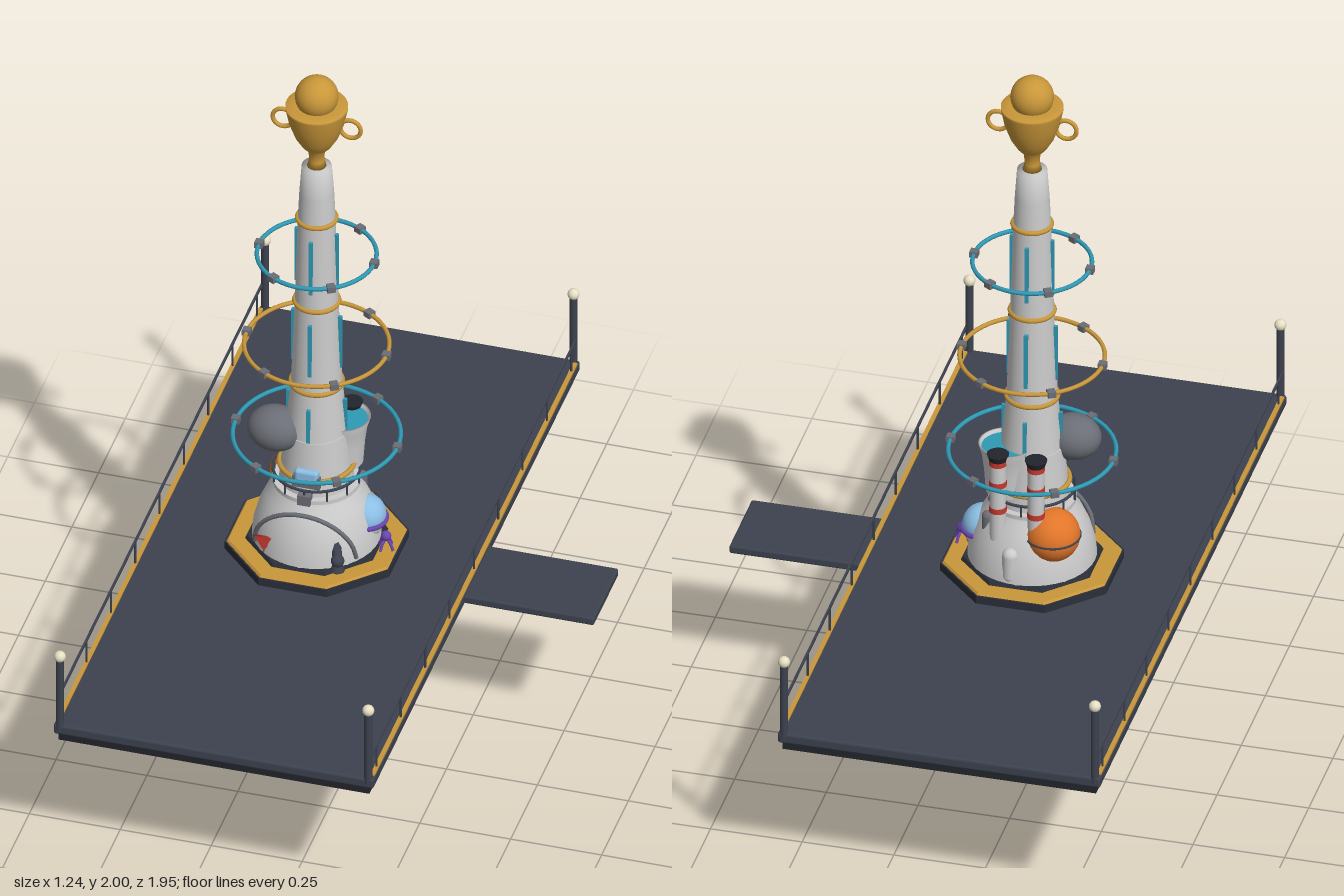
import * as THREE from 'three';
import { RoundedBoxGeometry } from 'three/addons/geometries/RoundedBoxGeometry.js';

const mat = (color, extra = {}) => new THREE.MeshStandardMaterial({ color, ...extra });
const M = {
  white: mat(0xd8d8d8), grey: mat(0x6b6e76), dark: mat(0x3c424f), darkFlat: mat(0x2b2f39, { flatShading: true }),
  gold: mat(0xc9973a), goldFlat: mat(0xc9973a, { flatShading: true }), teal: mat(0x2f9ab5), blue: mat(0x8cbfe6),
  purple: mat(0x6a45b0), orange: mat(0xe2762a), red: mat(0xc8392f), cream: mat(0xe6e0c4), black: mat(0x22252c),
};

function add(parent, name, geometry, material, x = 0, y = 0, z = 0) {
  const mesh = new THREE.Mesh(geometry, material);
  mesh.name = name;
  mesh.position.set(x, y, z);
  parent.add(mesh);
  return mesh;
}
// Upright cylinder given by its bottom and top heights
const column = (parent, name, rBottom, rTop, y0, y1, material, x = 0, z = 0, sides = 32) =>
  add(parent, name, new THREE.CylinderGeometry(rTop, rBottom, y1 - y0, sides), material, x, (y0 + y1) / 2, z);
const lathe = (parent, name, points, material, sides = 40) =>
  add(parent, name, new THREE.LatheGeometry(points.map(p => new THREE.Vector2(...p)), sides), material);
const ball = (parent, name, r, material, x, y, z) =>
  add(parent, name, new THREE.SphereGeometry(r, 24, 16), material, x, y, z);
function ring(parent, name, r, tube, y, material) {
  const mesh = add(parent, name, new THREE.TorusGeometry(r, tube, 8, 56), material, 0, y, 0);
  mesh.rotation.x = Math.PI / 2;
  return mesh;
}
const pipe = (parent, name, points, r, material) => add(parent, name,
  new THREE.TubeGeometry(new THREE.CatmullRomCurve3(points.map(p => new THREE.Vector3(...p))), 24, r, 8), material);

function buildPlatform() {
  const g = new THREE.Group();
  g.name = 'platform';
  add(g, 'deck', new RoundedBoxGeometry(0.88, 0.032, 1.94, 2, 0.008), M.dark, -0.18, 0.461, 0);
  add(g, 'deckUnderside', new THREE.BoxGeometry(0.855, 0.03, 1.925), M.black, -0.18, 0.44, 0);
  add(g, 'sideWalkway', new RoundedBoxGeometry(0.36, 0.024, 0.235, 2, 0.006), M.dark, 0.436, 0.463, 0);
  for (const side of [-1, 1]) {
    const x = -0.18 + side * 0.424;
    const railX = -0.18 + side * 0.432;
    add(g, 'edgeTrim', new THREE.BoxGeometry(0.012, 0.006, 1.9), M.gold, railX, 0.478, 0);
    add(g, 'handrail', new THREE.BoxGeometry(0.006, 0.006, 1.92), M.dark, railX, 0.552, 0);
    for (let i = -4; i <= 4; i++)
      column(g, 'railPost', 0.003, 0.003, 0.47, 0.552, M.dark, railX, i * 0.235 * 0.97, 6);
    for (const z of [-0.961, 0.961]) {
      column(g, 'cornerPost', 0.011, 0.011, 0.46, 0.69, M.dark, x, z, 12);
      ball(g, 'postLamp', 0.016, M.cream, x, 0.697, z);
    }
  }
  return g;
}

function buildSupport(g) {
  column(g, 'supportFoot', 0.087, 0.083, 0, 0.018, M.darkFlat, 0, 0, 8);
  column(g, 'supportFootStep', 0.06, 0.055, 0.018, 0.03, M.darkFlat, 0, 0, 8);
  column(g, 'supportColumn', 0.033, 0.019, 0.03, 0.435, M.purple, 0, 0, 16);
}

function buildTower(g) {
  // Octagonal plinth
  const plinth = [
    column(g, 'plinth', 0.245, 0.245, 0.475, 0.5, M.darkFlat, 0, 0, 8),
    column(g, 'plinthTrim', 0.24, 0.235, 0.5, 0.506, M.goldFlat, 0, 0, 8),
    column(g, 'plinthStep', 0.19, 0.185, 0.506, 0.516, M.darkFlat, 0, 0, 8)];
  plinth.forEach(p => { p.rotation.y = Math.PI / 8; });

  // Domed lower hall and shaft
  lathe(g, 'baseDome', [[0.172, 0.51], [0.168, 0.55], [0.155, 0.6], [0.135, 0.645], [0.115, 0.675], [0.11, 0.69]], M.white);
  column(g, 'balconyFloor', 0.117, 0.117, 0.685, 0.697, M.white);
  column(g, 'midBody', 0.1, 0.085, 0.69, 0.86, M.white);
  ring(g, 'balconyRail', 0.116, 0.004, 0.728, M.dark);
  for (let i = 0; i < 12; i++) {
    const a = i * Math.PI / 6;
    column(g, 'balconyPost', 0.003, 0.003, 0.695, 0.728, M.dark, 0.116 * Math.cos(a), 0.116 * Math.sin(a), 6);
  }
  ring(g, 'goldCollar', 0.099, 0.007, 0.748, M.gold);
  column(g, 'shaftLower', 0.083, 0.068, 0.85, 1.01, M.white);
  column(g, 'shaftMiddle', 0.068, 0.058, 1.01, 1.275, M.white);
  column(g, 'shaftUpper', 0.058, 0.05, 1.275, 1.545, M.white);
  lathe(g, 'shaftTop', [[0.05, 1.545], [0.046, 1.63], [0.04, 1.715], [0, 1.718]], M.white);
  for (const [y, r] of [[1.01, 0.068], [1.275, 0.058], [1.545, 0.051]]) ring(g, 'goldBand', r, 0.007, y, M.gold);

  // Teal light strips on four sides
  for (const [y, h, r] of [[0.9, 0.13, 0.078], [1.15, 0.165, 0.064], [1.415, 0.17, 0.055]])
    for (let i = 0; i < 4; i++) {
      const a = i * Math.PI / 2;
      add(g, 'lightStrip', new THREE.BoxGeometry(0.01, h, 0.01), M.teal, r * Math.sin(a), y, r * Math.cos(a)).rotation.y = a;
    }

  // Floating hoops with nodes
  for (const [y, r, m] of [[0.835, 0.222, M.teal], [1.13, 0.192, M.gold], [1.425, 0.158, M.teal]]) {
    ring(g, 'hoop', r, 0.006, y, m);
    for (let i = 0; i < 6; i++) {
      const a = i * Math.PI / 3;
      add(g, 'hoopNode', new THREE.BoxGeometry(0.022, 0.017, 0.022), M.grey, r * Math.cos(a), y, r * Math.sin(a)).rotation.y = -a;
    }
  }
}

function buildTrophy(g) {
  lathe(g, 'trophyCup', [[0, 1.715], [0.026, 1.715], [0.02, 1.735], [0.022, 1.765], [0.04, 1.785], [0.058, 1.815],
    [0.074, 1.86], [0.083, 1.905], [0.083, 1.912], [0.06, 1.914], [0, 1.914]], M.gold);
  ball(g, 'trophyBall', 0.058, M.gold, 0, 1.942, 0);
  for (const s of [-1, 1])
    add(g, 'trophyHandle', new THREE.TorusGeometry(0.028, 0.006, 10, 28), M.gold, s * 0.093, 1.853, 0);
}

function buildAttachments(g) {
  // Flared teal-floored lookout
  lathe(g, 'lookout', [[0.055, 0.73], [0.06, 0.8], [0.066, 0.845], [0.075, 0.875], [0.07, 0.875], [0.062, 0.855]],
    mat(0xd8d8d8, { side: THREE.DoubleSide })).position.set(0.058, 0, -0.045);
  column(g, 'lookoutFloor', 0.066, 0.067, 0.85, 0.866, M.teal, 0.058, -0.045);

  // Grey boulder globe
  const globe = ball(g, 'greyGlobe', 0.068, M.grey, -0.1, 0.865, 0.045);
  globe.scale.set(1.12, 0.92, 0.95);
  pipe(g, 'globeArm', [[-0.1, 0.84, 0.045], [-0.08, 0.8, 0.03], [-0.03, 0.78, 0.01]], 0.009, M.dark);

  // Orange globe with a band
  ball(g, 'orangeGlobe', 0.074, M.orange, -0.078, 0.635, -0.085);
  ring(g, 'orangeGlobeBand', 0.074, 0.003, 0.635, M.dark).position.set(-0.078, 0.635, -0.085);

  // Banded rocket tubes at the back
  for (const [x, z] of [[-0.04, -0.112], [0.065, -0.108]]) {
    column(g, 'rocketTube', 0.022, 0.022, 0.55, 0.86, M.white, x, z, 20);
    for (const y of [0.7, 0.78, 0.845]) column(g, 'rocketBand', 0.0235, 0.0235, y, y + 0.016, M.red, x, z, 20);
    column(g, 'rocketCap', 0.024, 0.03, 0.86, 0.878, M.black, x, z, 20);
    column(g, 'rocketSkirt', 0.032, 0.022, 0.52, 0.58, M.grey, x, z, 20);
  }
  add(g, 'tank', new THREE.CapsuleGeometry(0.022, 0.06, 6, 16), M.white, 0.02, 0.562, -0.15);
  add(g, 'tank', new THREE.CapsuleGeometry(0.016, 0.04, 6, 16), M.grey, 0.1, 0.64, -0.08);

  // Glazed pod on the left side
  ball(g, 'podBody', 0.056, M.white, 0.125, 0.575, -0.012);
  ball(g, 'podWindow', 0.056, M.blue, 0.13, 0.59, -0.012);
  ring(g, 'podRim', 0.058, 0.007, 0.582, M.purple).position.set(0.128, 0.58, -0.012);

  // Small purple figure in front of the pod
  ball(g, 'figureHead', 0.014, M.purple, 0.195, 0.55, 0.015);
  for (let i = 0; i < 4; i++) {
    const a = i * Math.PI / 2 + 0.4, c = Math.cos(a), s = Math.sin(a);
    pipe(g, 'figureLeg', [[0.195, 0.545, 0.015], [0.195 + 0.015 * c, 0.53, 0.015 + 0.015 * s],
      [0.195 + 0.024 * c, 0.512, 0.015 + 0.024 * s]], 0.004, M.purple);
  }

  // Tilted telescope
  pipe(g, 'telescope', [[0.08, 0.6, 0.105], [0.09, 0.57, 0.125], [0.1, 0.54, 0.145]], 0.014, M.dark);
  ball(g, 'telescopeEnd', 0.018, M.dark, 0.1, 0.54, 0.145);
  column(g, 'telescopeStand', 0.02, 0.006, 0.51, 0.55, M.dark, 0.1, 0.145, 10);

  // Front arch, window and sign
  const arch = [];
  for (let i = 0; i <= 8; i++) {
    const a = Math.PI * i / 8;
    arch.push([-0.14 * Math.cos(a), 0.53 + 0.13 * Math.sin(a), 0.105 + 0.03 * Math.sin(a)]);
  }
  pipe(g, 'frontArch', arch, 0.006, M.grey);
  add(g, 'frontWindowFrame', new THREE.BoxGeometry(0.075, 0.035, 0.03), M.grey, 0, 0.745, 0.088);
  add(g, 'frontWindow', new RoundedBoxGeometry(0.066, 0.04, 0.035, 2, 0.01), M.blue, 0, 0.762, 0.088);
  add(g, 'frontLamp', new THREE.BoxGeometry(0.035, 0.03, 0.03), M.grey, 0, 0.7, 0.11);
  const sign = add(g, 'redSign', new THREE.CylinderGeometry(0.03, 0.03, 0.008, 3), M.red, -0.105, 0.555, 0.135);
  sign.rotation.set(Math.PI / 2, 0, 0);
  column(g, 'signPost', 0.005, 0.005, 0.51, 0.55, M.grey, -0.105, 0.13, 8);
}

export function createModel() {
  const model = new THREE.Group();
  model.name = 'trophyTower';
  model.add(buildPlatform());
  const tower = new THREE.Group();
  tower.name = 'tower';
  tower.position.x = -0.18;
  [buildSupport, buildTower, buildTrophy, buildAttachments].forEach(build => build(tower));
  model.add(tower);
  return model;
}
